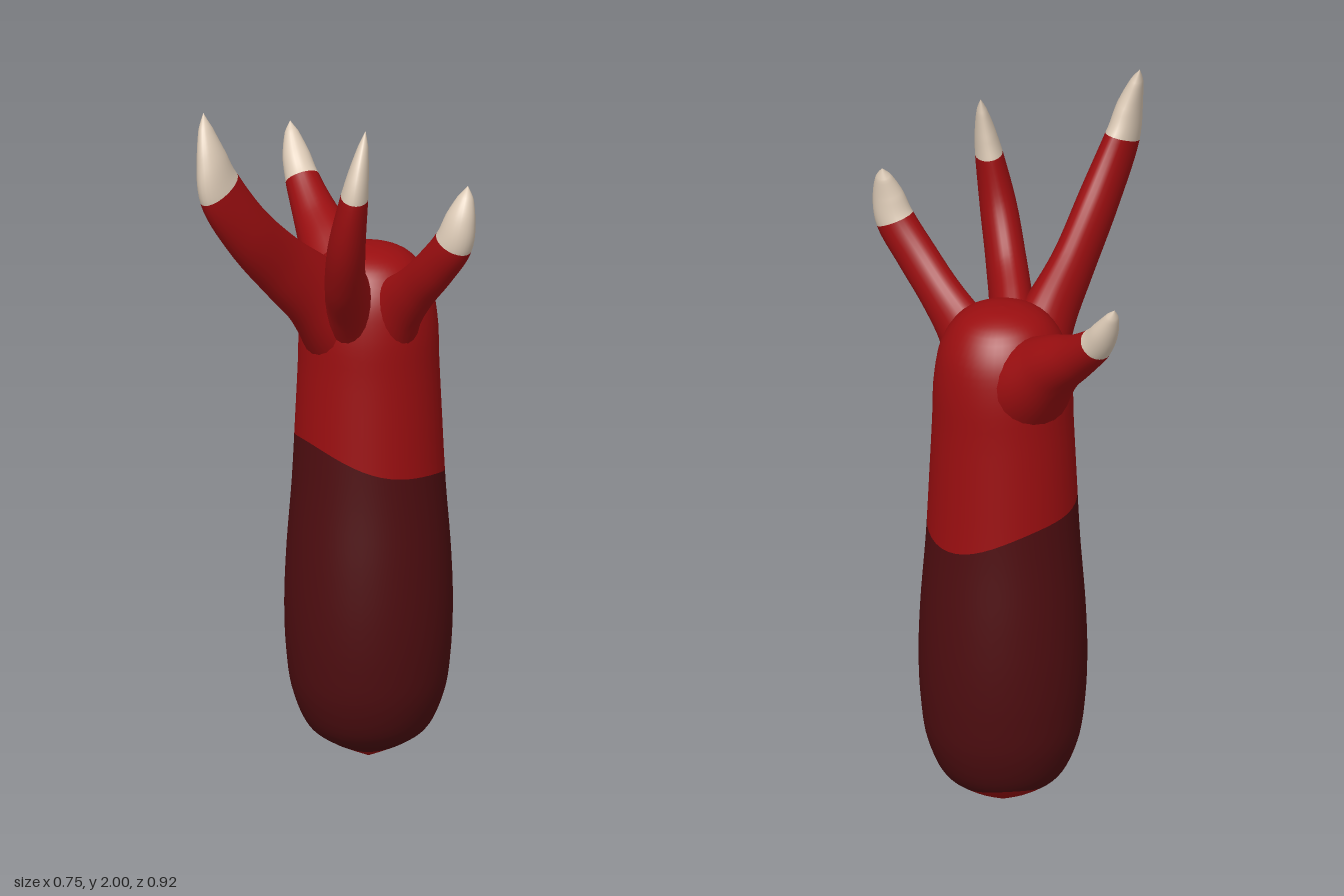
import * as THREE from 'three';

const V = (x, y, z) => new THREE.Vector3(x, y, z);
const mat = (name, color) => new THREE.MeshStandardMaterial({ name, color });

// Closed skin through rings; rowEnds marks the last row of each colour band
function loft(rows, sides, rowEnds, pointAt) {
  const pos = [], idx = [];
  for (let i = 0; i <= rows; i++)
    for (let j = 0; j < sides; j++)
      pos.push(...pointAt(i, (j / sides) * Math.PI * 2).toArray());
  for (let i = 0; i < rows; i++)
    for (let j = 0; j < sides; j++) {
      const k = (j + 1) % sides;
      const a = i * sides + j, b = i * sides + k;
      const c = a + sides, d = b + sides;
      idx.push(a, c, b, b, c, d);
    }
  const geo = new THREE.BufferGeometry();
  geo.setAttribute('position', new THREE.Float32BufferAttribute(pos, 3));
  geo.setIndex(idx);
  geo.computeVertexNormals();
  let start = 0;
  rowEnds.forEach((end, m) => {
    geo.addGroup(start * sides * 6, (end - start) * sides * 6, m);
    start = end;
  });
  return geo;
}

// Arm and palm: round profile with wavy colour seams
function armGeometry() {
  const profile = [
    [0, 0], [0.06, 0.03], [0.115, 0.06], [0.165, 0.1], [0.208, 0.2], [0.225, 0.32],
    [0.23, 0.45], [0.225, 0.6], [0.21, 0.8], [0.2, 1.0], [0.193, 1.15], [0.188, 1.28],
    [0.168, 1.38], [0.122, 1.45], [0.06, 1.48], [0, 1.487],
  ];
  const curve = new THREE.CatmullRomCurve3(profile.map(([r, y]) => V(r, y, 0)));
  const last = profile.length - 1;
  const ends = [8, 38, 64];
  return loft(64, 48, ends, (i, a) => {
    const c = Math.cos(a), s = Math.sin(a);
    // seams in profile steps: the lower patch reaches up at the back
    const low = 2.1 - 0.7 * s + 0.15 * Math.sin(3 * a);
    const seamY = 0.885 - 0.055 * c + 0.025 * s + 0.012 * Math.sin(3 * a + 0.6);
    const high = 8 + (seamY - 0.8) / 0.2;
    const t = i <= 8 ? (low * i) / 8
      : i <= 38 ? low + ((high - low) * (i - 8)) / 30
        : high + ((last - high) * (i - 38)) / 26;
    const p = curve.getPoint(Math.min(1, t / last));
    const r = Math.max(0, p.x);
    return V(0.053 + r * c, Math.max(0, p.y), -0.014 + r * s);
  });
}

// Finger rows: x, y, z, half width, half depth; claw begins at row clawRow
function fingerGeometry({ out, path, clawRow }) {
  const spine = new THREE.CatmullRomCurve3(path.map((p) => V(p[0], p[1], p[2])));
  const size = new THREE.CatmullRomCurve3(path.map((p, i) => V(p[3], p[4], i * 0.1)));
  const side0 = V(out[1], 0, -out[0]).normalize();
  const steps = 7, rows = (path.length - 1) * steps;
  return loft(rows, 24, [clawRow * steps, rows], (i, a) => {
    const t = i / rows;
    const tangent = spine.getTangent(t);
    const side = side0.clone().addScaledVector(tangent, -side0.dot(tangent)).normalize();
    const depth = side.clone().cross(tangent);
    const s = size.getPoint(t);
    return spine.getPoint(t)
      .addScaledVector(side, Math.max(0, s.x) * Math.cos(a))
      .addScaledVector(depth, Math.max(0, s.y) * Math.sin(a));
  });
}

const fingers = {
  rightFinger: {
    out: [-0.45, 0.9], clawRow: 4,
    path: [
      [-0.01, 1.27, 0.03, 0.12, 0.13], [-0.085, 1.39, 0.11, 0.075, 0.105],
      [-0.165, 1.5, 0.205, 0.057, 0.09], [-0.25, 1.64, 0.315, 0.053, 0.082],
      [-0.322, 1.79, 0.385, 0.044, 0.078], [-0.342, 1.88, 0.39, 0.034, 0.056],
      [-0.36, 1.96, 0.374, 0.017, 0.025], [-0.367, 2.0, 0.36, 0, 0],
    ],
  },
  middleFinger: {
    out: [0, 1], clawRow: 4,
    path: [
      [0.02, 1.28, 0.02, 0.1, 0.13], [0.01, 1.39, 0.14, 0.064, 0.1],
      [0.012, 1.49, 0.255, 0.056, 0.078], [0.024, 1.62, 0.335, 0.051, 0.068],
      [0.047, 1.77, 0.365, 0.038, 0.063], [0.058, 1.84, 0.36, 0.028, 0.048],
      [0.069, 1.91, 0.342, 0.014, 0.022], [0.074, 1.95, 0.328, 0, 0],
    ],
  },
  leftFinger: {
    out: [0.7, 0.7], clawRow: 4,
    path: [
      [0.09, 1.27, 0.03, 0.1, 0.13], [0.145, 1.36, 0.11, 0.063, 0.085],
      [0.2, 1.44, 0.18, 0.053, 0.065], [0.26, 1.53, 0.25, 0.051, 0.06],
      [0.313, 1.62, 0.295, 0.05, 0.056], [0.331, 1.69, 0.3, 0.04, 0.045],
      [0.345, 1.75, 0.289, 0.021, 0.023], [0.35, 1.78, 0.28, 0, 0],
    ],
  },
  thumb: {
    out: [-0.45, -0.87], clawRow: 4,
    path: [
      [0.03, 1.22, -0.03, 0.15, 0.15], [-0.01, 1.31, -0.12, 0.128, 0.12],
      [-0.06, 1.39, -0.205, 0.092, 0.088], [-0.115, 1.46, -0.3, 0.064, 0.062],
      [-0.16, 1.535, -0.383, 0.047, 0.047], [-0.18, 1.59, -0.42, 0.038, 0.035],
      [-0.195, 1.645, -0.45, 0.019, 0.017], [-0.2, 1.672, -0.463, 0, 0],
    ],
  },
};

export function createModel() {
  const red = mat('red skin', 0x9a0e10);
  const maroon = mat('dark maroon skin', 0x4e0d10);
  const bone = mat('bone claw', 0xdccab6);
  const model = new THREE.Group();
  model.name = 'clawedArm';

  const add = (name, geometry, materials) => {
    const mesh = new THREE.Mesh(geometry, materials);
    mesh.name = name;
    model.add(mesh);
  };
  add('armAndPalm', armGeometry(), [red, maroon, red]);
  for (const [name, spec] of Object.entries(fingers))
    add(name, fingerGeometry(spec), [red, bone]);
  return model;
}
